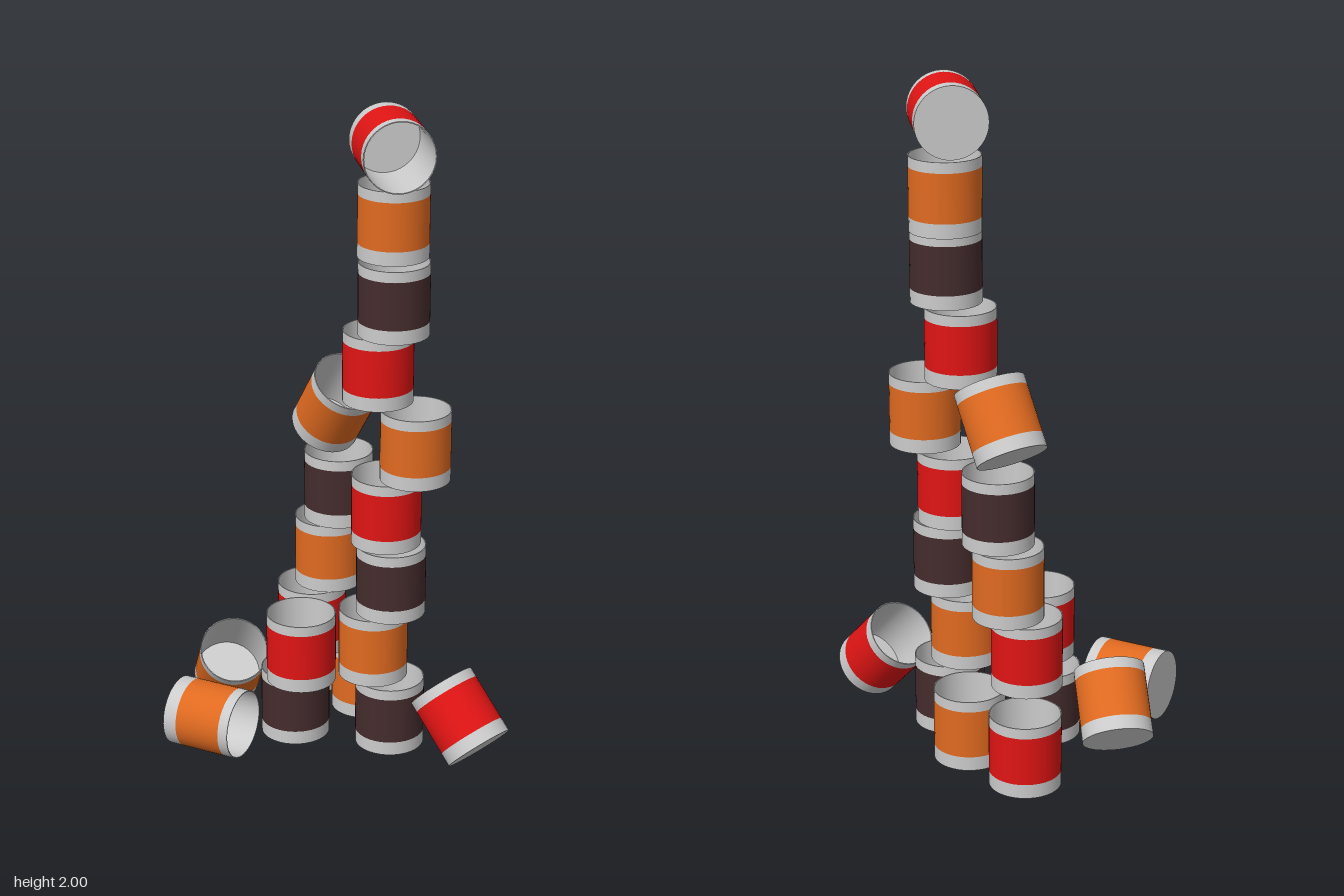
import * as THREE from 'three';
import { mergeGeometries } from 'three/addons/utils/BufferGeometryUtils.js';

const R = 0.106, H = 0.221, WALL = 0.003, PITCH = 0.2235;
const LABEL_LOW = 0.043, LABEL_HIGH = H - 0.032;

const metal = new THREE.MeshStandardMaterial({ color: 0xcccccc });
const paint = {};
for (const [name, color] of Object.entries({ red: 0xe01414, orange: 0xe06a20, brown: 0x452c2d })) {
  paint[name] = new THREE.MeshStandardMaterial({ color });
}

// Each straight run of the profile is turned on its own so edges stay sharp
function turned(...runs) {
  return mergeGeometries(runs.map(run =>
    new THREE.LatheGeometry(run.map(([x, y]) => new THREE.Vector2(x, y - H / 2)), 40)));
}

// Closed bottom, open top, thin wall
const tinGeometry = turned(
  [[0, 0], [R, 0]],
  [[R, 0], [R, LABEL_LOW]],
  [[R, LABEL_HIGH], [R, H]],
  [[R, H], [R - WALL, H]],
  [[R - WALL, H], [R - WALL, WALL]],
  [[R - WALL, WALL], [0, WALL]],
);
const labelGeometry = turned([[R, LABEL_LOW], [R, LABEL_HIGH]]);

// A can centred at (x, y, z) whose open end points along axis
function makeCan(name, color, x, y, z, axis = [0, 1, 0]) {
  const can = new THREE.Group();
  can.name = name;
  const tin = new THREE.Mesh(tinGeometry, metal);
  tin.name = 'tin';
  const label = new THREE.Mesh(labelGeometry, paint[color]);
  label.name = 'label';
  can.add(tin, label);
  can.position.set(x, y, z);
  can.quaternion.setFromUnitVectors(new THREE.Vector3(0, 1, 0), new THREE.Vector3(...axis).normalize());
  return can;
}

export function createModel() {
  const model = new THREE.Group();
  model.name = 'canStack';

  // Upright cans: level, colour, x, z
  const upright = [
    // bottom row
    [0, 'red', -0.338, -0.294], [0, 'orange', -0.1, -0.295],
    [0, 'brown', -0.137, -0.02], [0, 'brown', 0.119, -0.176],
    // second row
    [1, 'red', -0.204, -0.16], [1, 'red', -0.065, 0.026], [1, 'orange', 0.066, -0.156],
    // short column
    [2, 'orange', -0.172, -0.205], [3, 'brown', -0.14, -0.214],
    // tall column
    [2, 'brown', 0.119, -0.176], [3, 'red', 0.097, -0.176], [4, 'orange', 0.186, -0.205],
    [5, 'red', 0.058, -0.176], [6, 'brown', 0.119, -0.176], [7, 'orange', 0.087, -0.205],
  ];
  for (const [level, color, x, z] of upright) {
    model.add(makeCan('standingCan', color, x, level * PITCH + H / 2, z));
  }

  // Tipped and fallen cans
  model.add(
    makeCan('topCan', 'red', 0.1, 1.893, -0.183, [0.814, 0, 0.58]),
    makeCan('tippingCan', 'orange', -0.143, 1.043, -0.206, [0.56, 0.82, 0.12]),
    makeCan('fallenCanLeft', 'red', 0.378, 0.16, -0.213, [-0.71, 0.7, 0]),
    makeCan('fallenCanRight', 'orange', -0.385, 0.16, 0.023, [0.57, 0.72, 0.39]),
    makeCan('fallenCanFront', 'orange', -0.224, 0.113, 0.258, [0.95, 0, -0.31]),
  );
  return model;
}
